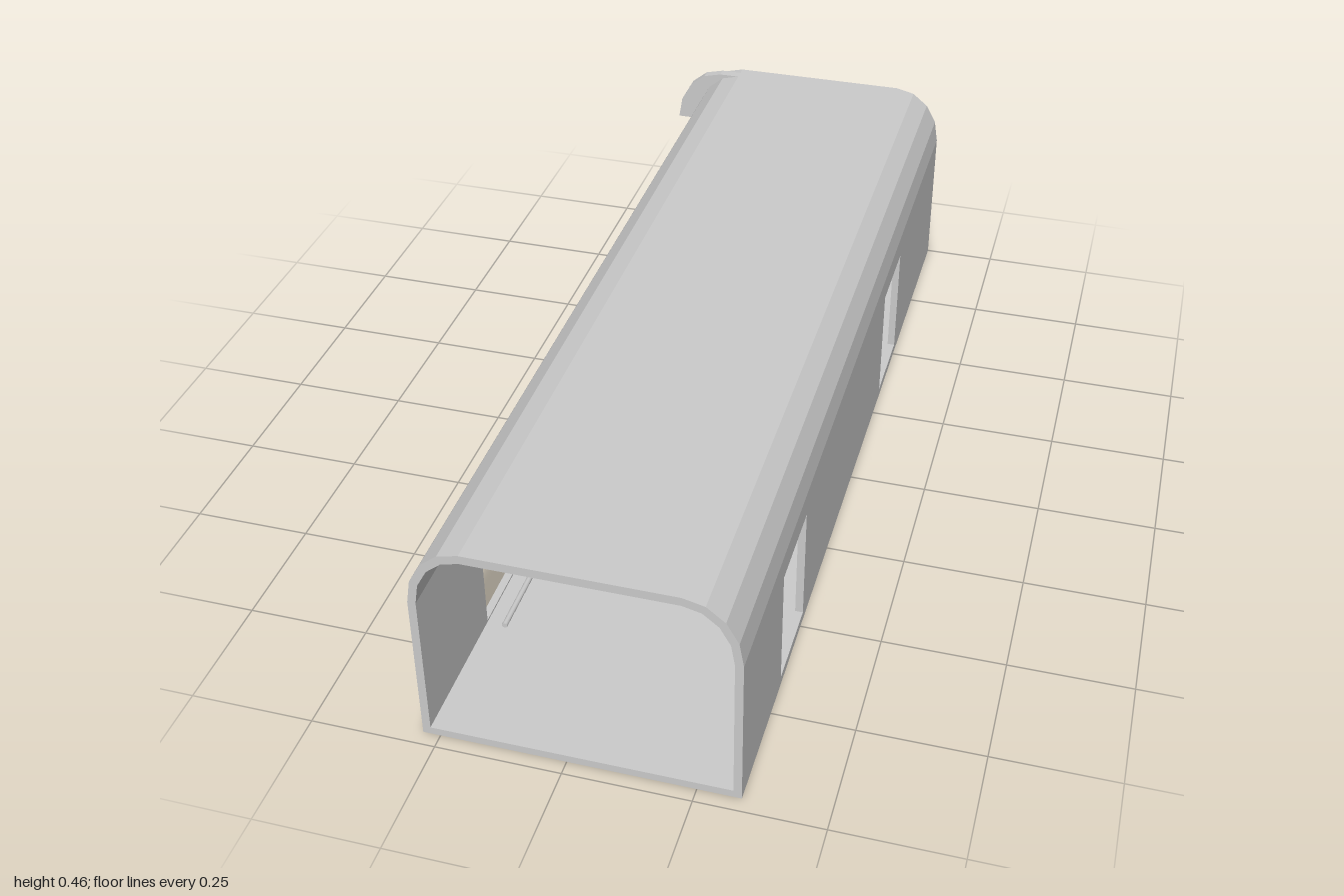
import * as THREE from 'three';

const mat = new THREE.MeshStandardMaterial({ color: 0xcccccc, flatShading: true });
const smooth = new THREE.MeshStandardMaterial({ color: 0xcccccc });

const LEFT = 0.335, RIGHT = -0.285, EAVE = 0.328, TOP = 0.46, WALL = 0.016;
const FRONT = 0.97, BACK = -1;

// Points of a faceted quarter-ellipse roof corner, from the eave (side = -1 or 1) to the roof
function corner(x, side, rx, ry, n = 4) {
  return Array.from({ length: n + 1 }, (_, i) => {
    const a = (i / n) * Math.PI / 2;
    return new THREE.Vector2(x - side * rx * (1 - Math.cos(a)), EAVE + ry * Math.sin(a));
  });
}

export function createModel() {
  const group = new THREE.Group();

  const add = (name, geometry, material = mat) => {
    const mesh = new THREE.Mesh(geometry, material);
    mesh.name = name;
    group.add(mesh);
    return mesh;
  };
  const box = (name, x0, x1, y0, y1, z0, z1) =>
    add(name, new THREE.BoxGeometry(x1 - x0, y1 - y0, z1 - z0))
      .position.set((x0 + x1) / 2, (y0 + y1) / 2, (z0 + z1) / 2);
  const extrude = (name, points, z0, z1) =>
    add(name, new THREE.ExtrudeGeometry(new THREE.Shape(points),
      { depth: z1 - z0, bevelEnabled: false }).translate(0, 0, z0));
  const tube = (name, points, radius, closed = false) => {
    const curve = new THREE.CatmullRomCurve3(points.map(p => new THREE.Vector3(...p)), closed);
    return add(name, new THREE.TubeGeometry(curve, 40, radius, 10, closed), smooth);
  };

  // Floor
  box('floor', RIGHT, LEFT, 0, WALL, BACK, FRONT);

  // Side walls, each with two door openings; drawn with z across and y up
  const doors = [[0.48, 0.67], [-0.51, -0.32]];
  for (const [name, x] of [['leftWall', LEFT - WALL], ['rightWall', RIGHT]]) {
    const shape = new THREE.Shape([[-FRONT, 0], [-BACK, 0], [-BACK, EAVE], [-FRONT, EAVE]]
      .map(p => new THREE.Vector2(...p)));
    for (const [a, b] of doors) {
      shape.holes.push(new THREE.Path([[-b, 0.02], [-b, 0.275], [-a, 0.275], [-a, 0.02]]
        .map(p => new THREE.Vector2(...p))));
    }
    add(name, new THREE.ExtrudeGeometry(shape, { depth: WALL, bevelEnabled: false })
      .rotateY(Math.PI / 2).translate(x, 0, 0));
  }

  // Roof with faceted corners
  const outer = [...corner(LEFT, 1, 0.11, TOP - EAVE), ...corner(RIGHT, -1, 0.107, TOP - EAVE).reverse()];
  const inner = [...corner(LEFT - WALL, 1, 0.095, 0.114), ...corner(RIGHT + WALL, -1, 0.092, 0.114).reverse()];
  extrude('roof', [...outer, ...inner.reverse()], BACK, FRONT);

  // Closed rear end
  extrude('rearWall', [new THREE.Vector2(RIGHT, 0), new THREE.Vector2(LEFT, 0), ...outer], BACK, BACK + 0.015);

  // Upper panel at the rear, its rounded edge reaching out through the wall
  extrude('rearUpperPanel', [new THREE.Vector2(-0.025, EAVE), new THREE.Vector2(-0.025, TOP),
    ...corner(-0.335, -1, 0.11, TOP - EAVE).reverse()], -0.98, -0.957);

  // Console with a sloping top
  extrude('console', [[-0.265, 0.03], [-0.13, 0.03], [-0.13, 0.135], [-0.235, 0.195], [-0.265, 0.195]]
    .map(p => new THREE.Vector2(...p)), 0.2, 0.365);

  // Cabinets between the doors
  box('cabinet', -0.235, -0.117, 0.095, 0.26, -0.02, 0.1);
  box('cabinetDoor', -0.117, -0.112, 0.117, 0.222, -0.01, 0.09);
  box('lowCabinet', -0.268, -0.152, WALL, 0.166, -0.27, -0.06);
  box('shelf', -0.27, -0.138, 0.299, 0.303, -0.27, 0.1);

  // Bent handrail beside the console
  tube('handrail', [[-0.15, 0.288, 0.17], [-0.118, 0.286, 0.17], [-0.093, 0.265, 0.17], [-0.084, 0.21, 0.17],
    [-0.084, 0.15, 0.17], [-0.09, 0.1, 0.17], [-0.105, 0.081, 0.17], [-0.14, 0.079, 0.17]], 0.005);

  // Overhead rail with its curved ceiling bracket
  const rail = add('overheadRail', new THREE.CylinderGeometry(0.005, 0.005, 0.92, 12).rotateX(Math.PI / 2), smooth);
  rail.position.set(-0.088, 0.347, 0.54);
  tube('ceilingBracket', [[-0.045, 0.445, 0.08], [-0.045, 0.41, 0.08], [-0.046, 0.383, 0.08],
    [-0.057, 0.362, 0.08], [-0.072, 0.351, 0.08], [-0.088, 0.347, 0.08]], 0.004);

  // Hanging strap and grip
  box('strap', -0.0895, -0.0865, 0.283, 0.347, 0.29, 0.3);
  tube('strapGrip', [[-0.088, 0.285, 0.295], [-0.081, 0.27, 0.275], [-0.081, 0.27, 0.315]], 0.003, true);

  return group;
}
